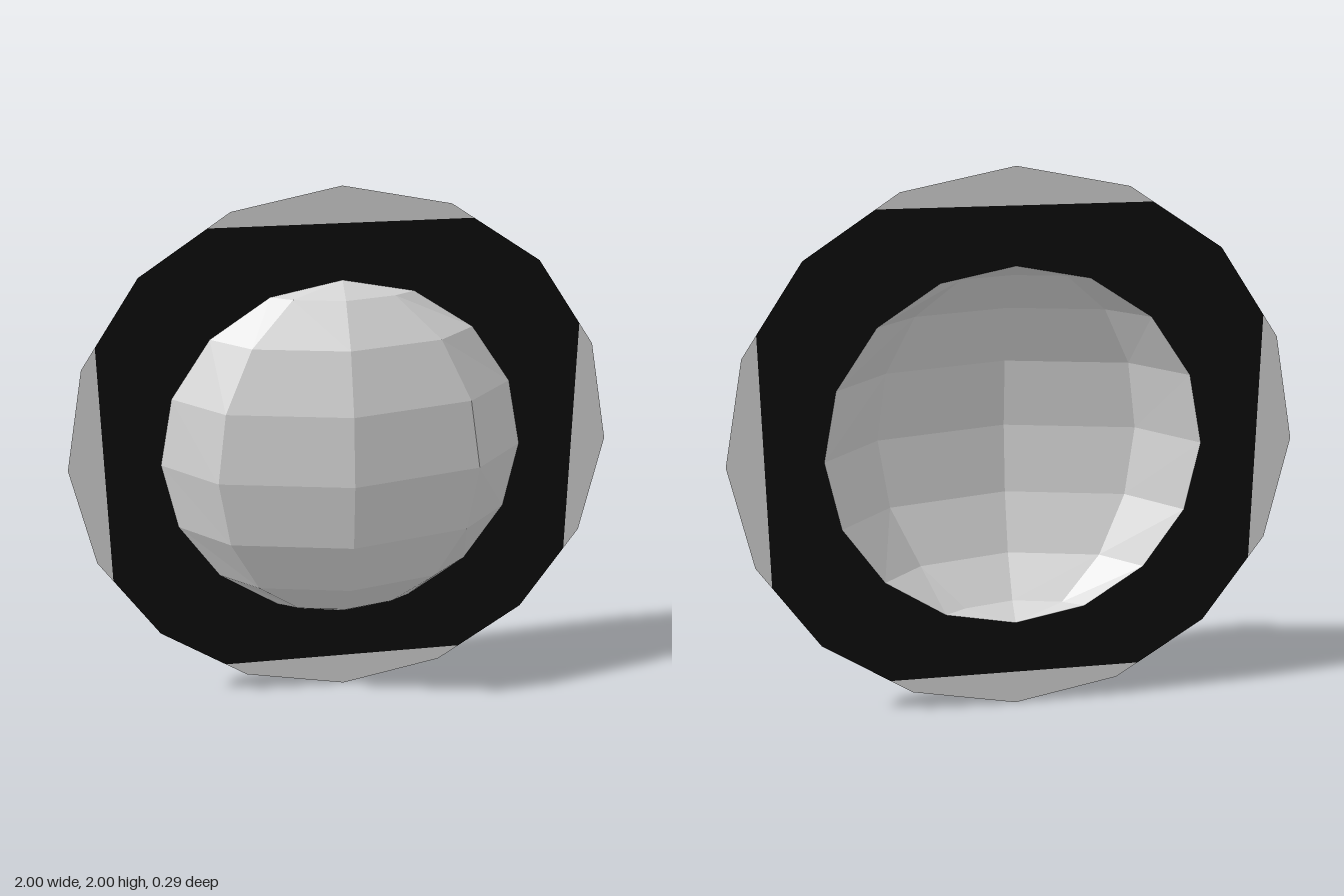
import * as THREE from 'three';

const BACK = -0.147;   // plane of the flat rim
const RIM = 0.667;     // radius of the dome opening
const CUT = 0.87;      // where the grey edge pieces begin

const grey = new THREE.MeshStandardMaterial({ color: 0xd6d6d6, side: THREE.DoubleSide, flatShading: true });
grey.name = 'lightGrey';
const black = new THREE.MeshStandardMaterial({ color: 0x0c0c0c, side: THREE.DoubleSide, flatShading: true });
black.name = 'black';

// Corner i of a regular 16-sided outline
function corner(i, r = 1) {
  const a = (i * Math.PI) / 8;
  return new THREE.Vector2(r * Math.cos(a), r * Math.sin(a));
}

export function createModel() {
  const model = new THREE.Group();
  model.name = 'domedDisc';

  const add = (name, geometry, material, z = 0) => {
    const mesh = new THREE.Mesh(geometry, material);
    mesh.name = name;
    mesh.position.set(0, 1, z);
    model.add(mesh);
    return mesh;
  };

  // Point where the outline crosses the cut line
  const p1 = corner(1), p2 = corner(2);
  const side = p1.clone().lerp(p2, (p1.x - CUT) / (p1.x - p2.x)).y;

  // Flat black ring with four straight sides and an open centre
  const outline = [];
  for (let q = 0; q < 4; q++) {
    for (const p of [new THREE.Vector2(CUT, side), p2, new THREE.Vector2(side, CUT)]) {
      outline.push(p.clone().rotateAround(new THREE.Vector2(), (q * Math.PI) / 2));
    }
  }
  const ring = new THREE.Shape(outline);
  ring.holes.push(new THREE.Path(Array.from({ length: 16 }, (_, i) => corner(-i, RIM))));
  add('blackRing', new THREE.ShapeGeometry(ring), black, BACK);

  // Grey edge segments on the four sides
  const segment = new THREE.ShapeGeometry(new THREE.Shape([
    new THREE.Vector2(CUT, -side), corner(-1), corner(0), corner(1), new THREE.Vector2(CUT, side),
  ]));
  ['left', 'top', 'right', 'bottom'].forEach((name, q) => {
    add(name + 'EdgeSegment', segment, grey, BACK).rotation.z = (q * Math.PI) / 2;
  });

  // Faceted hollow dome: a flattened half sphere whose edge lies in the rim plane
  const dome = new THREE.SphereGeometry(RIM, 4, 8, 0, Math.PI);
  const pos = dome.attributes.position;
  for (let i = 0; i < pos.count; i++) {
    pos.setZ(i, Math.max(BACK, (0.345 * pos.getZ(i)) / RIM - 0.198));
  }
  dome.computeVertexNormals();
  add('dome', dome, grey);

  return model;
}
